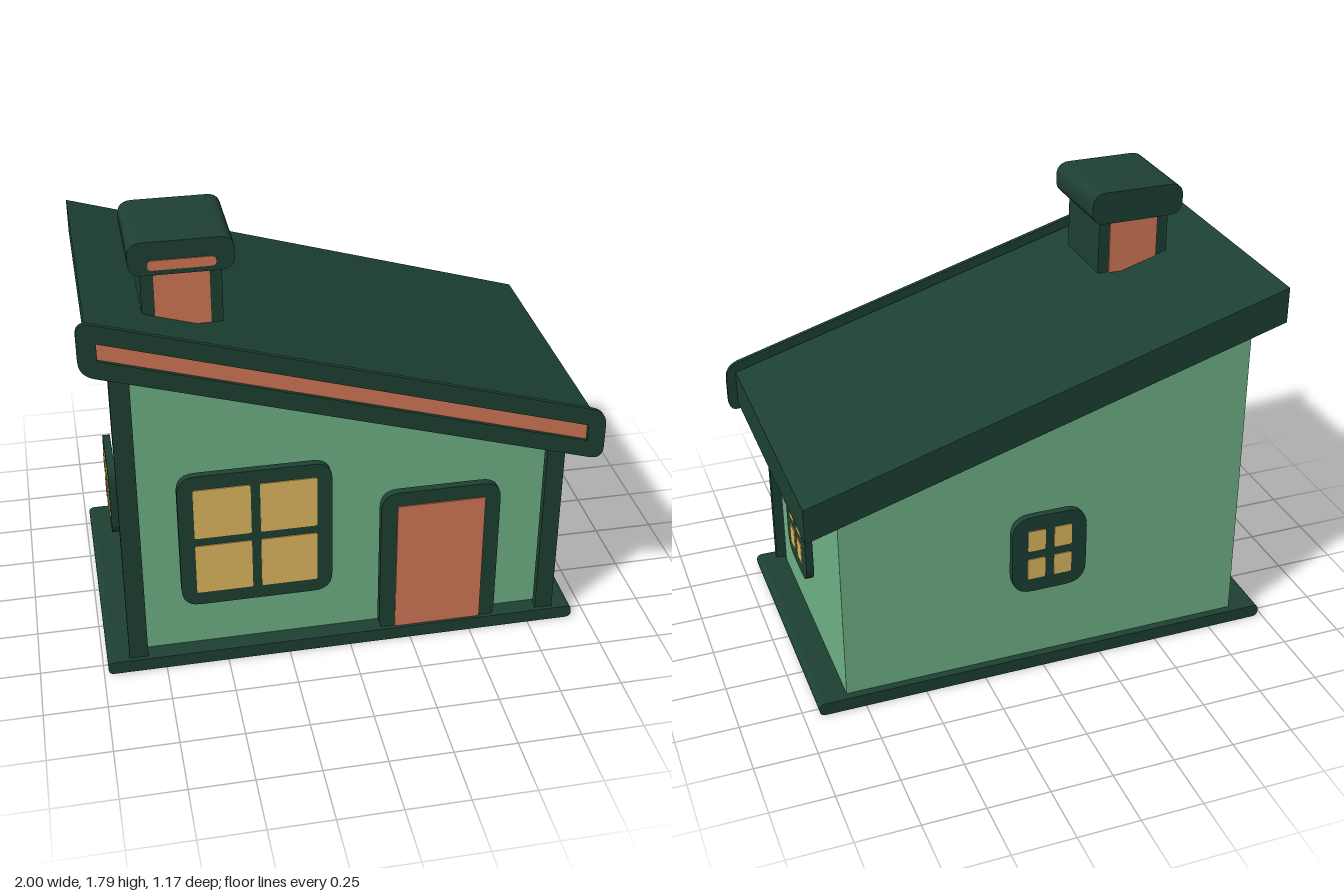
import * as THREE from 'three';

const mat = (name, color) => {
  const m = new THREE.MeshStandardMaterial({ color });
  m.name = name;
  return m;
};

// Closed outline through the corner points, each corner rounded by radius r
function outline(points, r = 0, ShapeType = THREE.Shape) {
  const p = points.map(([x, y]) => new THREE.Vector2(x, y));
  const s = new ShapeType();
  p.forEach((c, i) => {
    const prev = p[(i + p.length - 1) % p.length], next = p[(i + 1) % p.length];
    const a = c.clone().add(prev.clone().sub(c).setLength(r));
    const b = c.clone().add(next.clone().sub(c).setLength(r));
    if (i === 0) s.moveTo(a.x, a.y); else s.lineTo(a.x, a.y);
    if (r > 0) s.quadraticCurveTo(c.x, c.y, b.x, b.y);
  });
  s.closePath();
  return s;
}

const rect = (x0, x1, y0, y1) => [[x0, y0], [x1, y0], [x1, y1], [x0, y1]];

export function createModel() {
  const house = new THREE.Group();
  house.name = 'house';
  const green = mat('wall green', 0x70b488);
  const dark = mat('dark green', 0x1d4133);
  const clay = mat('terracotta', 0xd67858);
  const yellow = mat('window yellow', 0xe2ba60);

  // Extrude an outline from z0 to z1
  function part(name, shape, z0, z1, material, parent = house) {
    const g = new THREE.ExtrudeGeometry(shape, { depth: z1 - z0, bevelEnabled: false, curveSegments: 6 });
    g.translate(0, 0, z0);
    const m = new THREE.Mesh(g, material);
    m.name = name;
    parent.add(m);
  }

  // Roof slope: centre height of the roof at x
  const roofY = x => 1.195 - 0.2985 * x;
  const underRoof = (x0, x1, y0) => [[x0, y0], [x1, y0], [x1, roofY(x1) - 0.04], [x0, roofY(x0) - 0.04]];
  const sloped = (x0, x1, h) => [[x0, roofY(x0) - h], [x1, roofY(x1) - h], [x1, roofY(x1) + h], [x0, roofY(x0) + h]];

  // Base, walls and front corner posts (posts stand slightly clear of the wall)
  const wall = { left: 0.82, right: -0.857, front: 0.487, back: -0.512 };
  part('base', outline(rect(-0.982, 0.938, 0, 0.055), 0.024), -0.544, 0.56, dark);
  part('walls', outline(underRoof(wall.right, wall.left, 0.02)), wall.back, wall.front, green);
  for (const [x0, x1] of [[-0.895, -0.82], [0.785, 0.857]])
    part('cornerPost', outline(underRoof(x0, x1, 0.04)), 0.51, 0.543, dark);

  // Roof slab and the front trim board with its coloured inlay
  part('roof', outline(sloped(-0.963, 0.96, 0.072)), -0.585, 0.557, dark);
  const trim = outline(sloped(-0.998, 0.998, 0.108), 0.06);
  trim.holes.push(outline(sloped(-0.928, 0.927, 0.035), 0, THREE.Path));
  part('roofTrim', trim, 0.567, 0.585, dark);
  part('roofInlay', outline(sloped(-0.935, 0.928, 0.037)), 0.556, 0.571, clay);

  // Chimney: shaft, front and back panels, rounded cap with inlay
  const chimney = new THREE.Group();
  chimney.name = 'chimney';
  house.add(chimney);
  part('chimneyShaft', outline(rect(-0.746, -0.447, 1.43, 1.68)), 0.04, 0.353, dark, chimney);
  for (const [z0, z1] of [[0.033, 0.041], [0.351, 0.355]])
    part('chimneyPanel', outline(rect(-0.698, -0.492, 1.43, 1.67)), z0, z1, clay, chimney);
  part('chimneyCap', outline(rect(-0.79, -0.401, 1.657, 1.788), 0.055), 0.003, 0.387, dark, chimney);
  part('capInlay', outline(rect(-0.72, -0.47, 1.678, 1.716), 0.018), 0.386, 0.391, clay, chimney);

  // Window facing +z with its origin on the wall face: four panes on a rounded frame
  function windowUnit(name, w, h, r, paneW, paneH, bar, position, turn) {
    const g = new THREE.Group();
    g.name = name;
    part('windowFrame', outline(rect(-w / 2, w / 2, -h / 2, h / 2), r), 0.022, 0.052, dark, g);
    for (const sx of [-1, 1]) for (const sy of [-1, 1]) {
      const cx = sx * (bar + paneW) / 2, cy = sy * (bar + paneH) / 2;
      const pane = outline(rect(cx - paneW / 2, cx + paneW / 2, cy - paneH / 2, cy + paneH / 2), 0.008);
      part('windowPane', pane, 0.049, 0.056, yellow, g);
    }
    g.position.set(...position);
    g.rotation.y = turn;
    house.add(g);
  }
  windowUnit('frontWindow', 0.6, 0.6, 0.075, 0.222, 0.222, 0.036, [-0.373, 0.579, wall.front], 0);
  const small = (name, position, turn) =>
    windowUnit(name, 0.31, 0.345, 0.085, 0.073, 0.092, 0.037, position, turn);
  small('leftWindow', [wall.left, 0.527, -0.013], Math.PI / 2);
  small('rightWindow', [wall.right, 0.527, -0.013], -Math.PI / 2);
  small('backWindow', [-0.01, 0.568, wall.back], Math.PI);

  // Door and its rounded frame
  part('doorFrame', outline(rect(0.122, 0.605, 0.02, 0.705), 0.075), 0.51, 0.543, dark);
  part('door', outline(rect(0.187, 0.542, 0.05, 0.643)), 0.54, 0.548, clay);

  return house;
}
